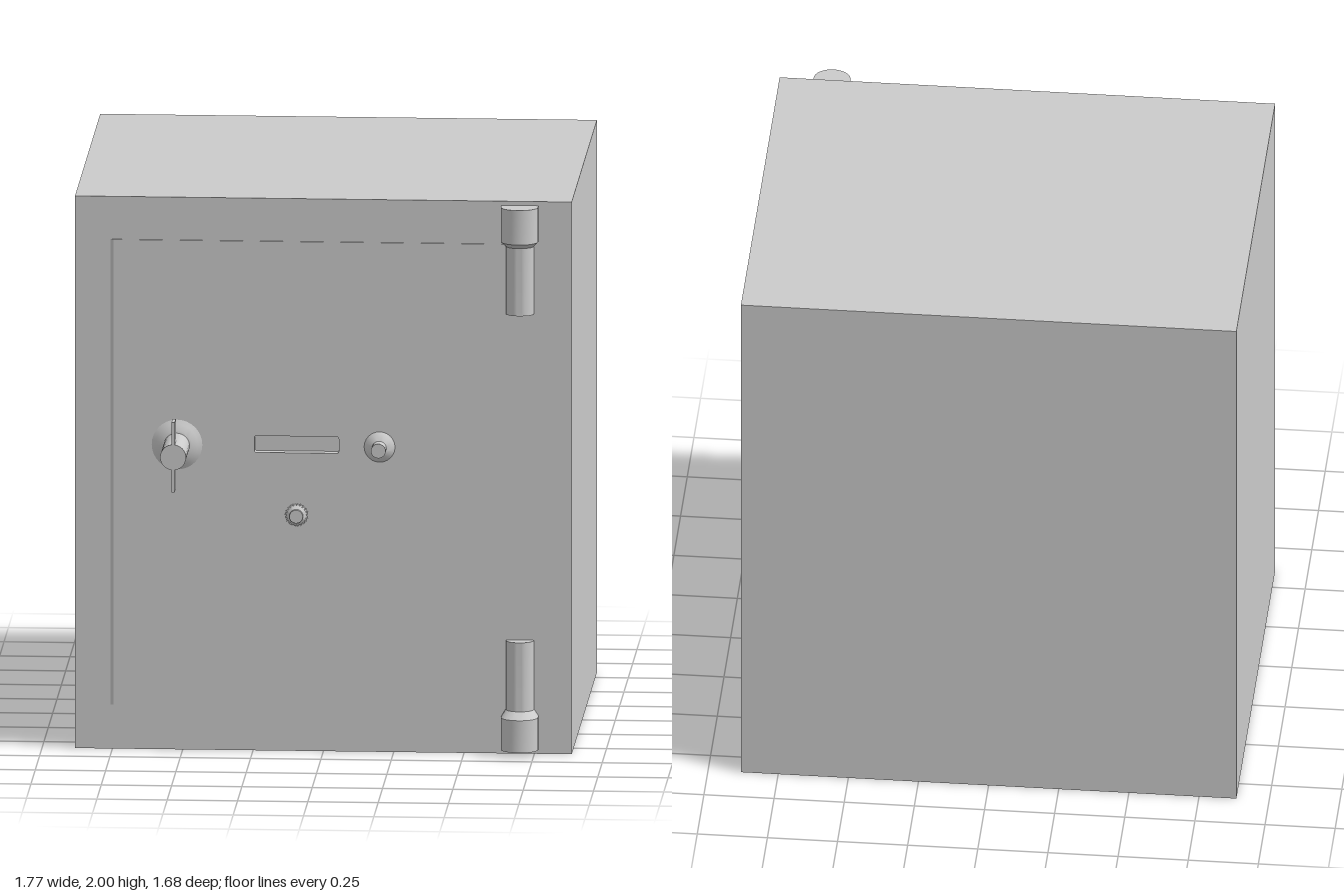
import * as THREE from 'three';
import { toCreasedNormals } from 'three/addons/utils/BufferGeometryUtils.js';

const FACE = 0.605; // front plane of the body
const DOOR = 0.61; // front plane of the door

export function createModel() {
  const model = new THREE.Group();
  const grey = new THREE.MeshStandardMaterial({ color: 0xcccccc });

  function add(parent, name, geometry, x = 0, y = 0, z = 0) {
    const mesh = new THREE.Mesh(geometry, grey);
    mesh.name = name;
    mesh.position.set(x, y, z);
    parent.add(mesh);
    return mesh;
  }

  // Rectangle outline, with optional small corner radius
  function rect(Type, x0, x1, y0, y1, r = 0) {
    const s = new Type();
    s.moveTo(x0 + r, y0).lineTo(x1 - r, y0);
    if (r) s.quadraticCurveTo(x1, y0, x1, y0 + r);
    s.lineTo(x1, y1 - r);
    if (r) s.quadraticCurveTo(x1, y1, x1 - r, y1);
    s.lineTo(x0 + r, y1);
    if (r) s.quadraticCurveTo(x0, y1, x0, y1 - r);
    s.lineTo(x0, y0 + r);
    if (r) s.quadraticCurveTo(x0, y0, x0 + r, y0);
    return s;
  }

  // Panel pierced by the slot
  function slottedPanel(x0, x1, y0, y1, depth) {
    const shape = rect(THREE.Shape, x0, x1, y0, y1);
    shape.holes.push(rect(THREE.Path, -0.245, 0.055, 1.08, 1.14, 0.008));
    return new THREE.ExtrudeGeometry(shape, { depth, bevelEnabled: false, curveSegments: 4 });
  }

  // Turned part whose axis points forward; profile is [radius, z] pairs
  function turned(profile, segments) {
    const points = profile.map(([r, z]) => new THREE.Vector2(r, z));
    const g = new THREE.LatheGeometry(points, segments).rotateX(Math.PI / 2);
    return toCreasedNormals(g, 0.5);
  }

  // Body: solid block plus a pierced front layer
  const body = new THREE.Group();
  body.name = 'body';
  model.add(body);
  add(body, 'bodyBlock', new THREE.BoxGeometry(1.766, 2, 1.42), 0, 1, -0.135);
  add(body, 'bodyFront', slottedPanel(-0.883, 0.883, 0, 2, FACE - 0.575), 0, 0, 0.575);

  // Door: thin raised panel with a sloped edge on the opening side
  const door = new THREE.Group();
  door.name = 'door';
  model.add(door);
  add(door, 'doorPanel', slottedPanel(-0.745, 0.75, 0.16, 1.845, DOOR - FACE), 0, 0, FACE);
  const edge = new THREE.Shape([
    new THREE.Vector2(-0.757, -FACE), new THREE.Vector2(-0.745, -DOOR), new THREE.Vector2(-0.745, -FACE),
  ]);
  const edgeGeo = new THREE.ExtrudeGeometry(edge, { depth: 1.685, bevelEnabled: false });
  add(door, 'doorEdge', edgeGeo.rotateX(-Math.PI / 2), 0, 0.16, 0);

  // Hinge: D-shaped sections [y, half width, depth, arc height] joined in a loop
  function hingeGeometry(sections) {
    const steps = 16, n = steps + 3, pos = [], index = [];
    for (const [y, w, depth, arc] of sections) {
      pos.push(w, y, 0);
      for (let i = 0; i <= steps; i++) {
        const a = (i / steps) * Math.PI;
        pos.push(w * Math.cos(a), y, depth - arc + arc * Math.sin(a));
      }
      pos.push(-w, y, 0);
    }
    for (let s = 0; s < sections.length - 1; s++) {
      for (let i = 0; i < n; i++) {
        const a = s * n + i, b = s * n + (i + 1) % n;
        index.push(a, a + n, b, b, a + n, b + n);
      }
    }
    const top = (sections.length - 1) * n;
    for (let i = 1; i < n - 1; i++) {
      index.push(0, i, i + 1, top, top + i + 1, top + i);
    }
    const g = new THREE.BufferGeometry();
    g.setAttribute('position', new THREE.Float32BufferAttribute(pos, 3));
    g.setIndex(index);
    return toCreasedNormals(g, 0.45);
  }
  const barrel = [0.05, 0.055, 0.046], cap = [0.066, 0.09, 0.06];
  const upper = [[1.595, ...barrel], [1.84, ...barrel], [1.86, ...cap], [1.985, ...cap]];
  const lower = [[0.02, ...cap], [0.137, ...cap], [0.162, ...barrel], [0.412, ...barrel]];
  add(model, 'upperHinge', hingeGeometry(upper), 0.699, 0, FACE);
  add(model, 'lowerHinge', hingeGeometry(lower), 0.699, 0, FACE);

  // Handle: flared rose, round shaft and a thin cross blade
  const handle = new THREE.Group();
  handle.name = 'handle';
  handle.position.set(-0.52, 1.105, DOOR);
  model.add(handle);
  add(handle, 'handleShaft', turned([
    [0.09, 0], [0.075, 0.009], [0.055, 0.022], [0.046, 0.024], [0.046, 0.23], [0, 0.23],
  ], 32));
  add(handle, 'handleBlade', new THREE.BoxGeometry(0.012, 0.252, 0.069), 0, 0, 0.195);

  // Dial knob
  add(model, 'knob', turned([
    [0.055, 0], [0.05, 0.006], [0.03, 0.024], [0.026, 0.026], [0.026, 0.074], [0, 0.074],
  ], 24), 0.2, 1.105, DOOR);

  // Key lock: ribbed ring around a small plug
  const lock = new THREE.Group();
  lock.name = 'keyLock';
  lock.position.set(-0.095, 0.855, DOOR);
  model.add(lock);
  add(lock, 'lockPlug', turned([[0.04, 0], [0.024, 0.016], [0.024, 0.031], [0, 0.031]], 20));
  for (let i = 0; i < 20; i++) {
    const a = (i / 20) * Math.PI * 2;
    const rib = add(lock, 'lockRib', new THREE.BoxGeometry(0.008, 0.005, 0.006),
      0.038 * Math.cos(a), 0.038 * Math.sin(a), 0.002);
    rib.rotation.z = a;
  }

  return model;
}
